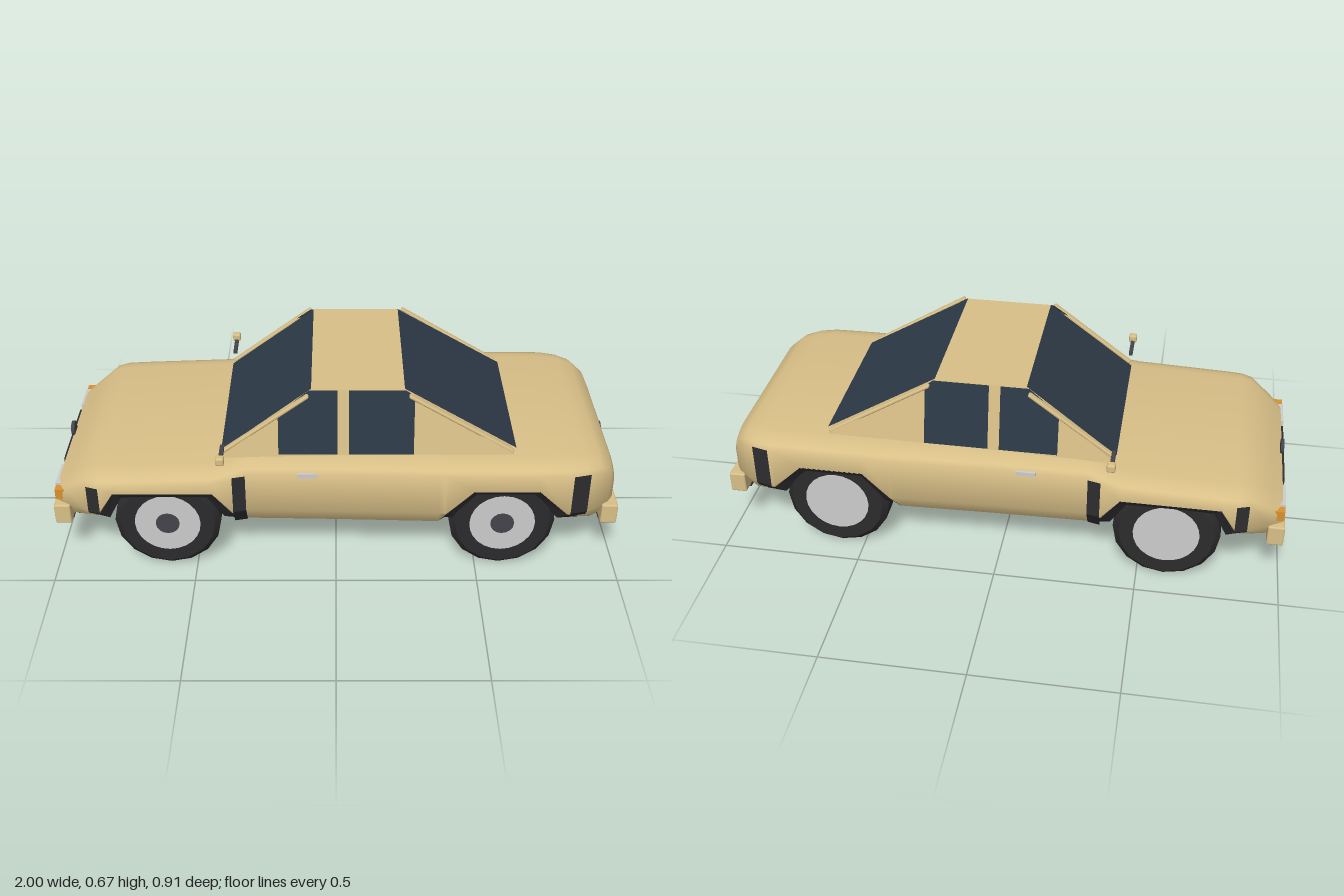
import * as THREE from 'three';
import { toCreasedNormals } from 'three/addons/utils/BufferGeometryUtils.js';
import { RoundedBoxGeometry } from 'three/addons/geometries/RoundedBoxGeometry.js';

const paint = (color) => new THREE.MeshStandardMaterial({ color, side: THREE.DoubleSide });
const M = {
  body: paint(0xd8bf87), glass: paint(0x2c3946), dark: paint(0x2d2d31), trim: paint(0x45444a), tyre: paint(0x2b2b2d),
  rim: paint(0xf0f0f3), red: paint(0xc23c44), amber: paint(0xd9912f),
};

// stations along the car: x, half width, top height, underside height
const STATIONS = [
  [-0.985, 0.35, 0.305, 0.2], [-0.945, 0.375, 0.333, 0.17], [-0.87, 0.415, 0.383, 0.212], [-0.83, 0.43, 0.387, 0.235],
  [-0.775, 0.433, 0.389, 0.328], [-0.43, 0.433, 0.402, 0.328], [-0.365, 0.422, 0.416, 0.235], [-0.315, 0.41, 0.43, 0.17],
  [0.0, 0.418, 0.435, 0.17], [0.36, 0.431, 0.435, 0.17], [0.385, 0.432, 0.435, 0.235], [0.48, 0.433, 0.435, 0.337],
  [0.705, 0.433, 0.435, 0.337], [0.81, 0.432, 0.434, 0.235], [0.87, 0.42, 0.431, 0.2], [0.92, 0.393, 0.425, 0.17],
  [0.965, 0.357, 0.396, 0.17], [0.984, 0.325, 0.355, 0.185],
];

function halfWidth(x) {
  const i = Math.max(1, STATIONS.findIndex((s) => s[0] >= x));
  const [a, b] = [STATIONS[i - 1], STATIONS[i]];
  return THREE.MathUtils.lerp(a[1], b[1], (x - a[0]) / (b[0] - a[0]));
}
const sillInset = (y) => 0.055 * THREE.MathUtils.clamp((0.245 - y) / 0.075, 0, 1);

// skin a grid of [x, y, z] points given as rows
function skin(rows, crease = 0.6) {
  const n = rows[0].length, index = [];
  for (let i = 0; i < rows.length - 1; i++)
    for (let j = 0; j < n - 1; j++) {
      const a = i * n + j, c = a + n;
      index.push(a, c, a + 1, a + 1, c, c + 1);
    }
  const g = new THREE.BufferGeometry();
  g.setAttribute('position', new THREE.Float32BufferAttribute(rows.flat(2), 3));
  g.setIndex(index);
  return toCreasedNormals(g, crease);
}

export function createModel() {
  const car = new THREE.Group();
  car.name = 'car';
  const add = (name, geometry, material, x = 0, y = 0, z = 0) => {
    const m = new THREE.Mesh(geometry, material);
    m.name = name;
    m.position.set(x, y, z);
    car.add(m);
    return m;
  };
  // box given by its extents on each axis
  const box = (name, mat, [x0, x1], [y0, y1], [z0, z1], r = 0) => {
    const s = [x1 - x0, y1 - y0, z1 - z0];
    const g = r ? new RoundedBoxGeometry(...s, 2, r) : new THREE.BoxGeometry(...s);
    return add(name, g, mat, (x0 + x1) / 2, (y0 + y1) / 2, (z0 + z1) / 2);
  };
  const pair = (name, mat, xr, yr, [z0, z1], r) => {
    box(name + 'Left', mat, xr, yr, [z0, z1], r);
    box(name + 'Right', mat, xr, yr, [-z1, -z0], r);
  };

  // body shell: rounded shoulders, upright flanks, sills tucked under
  const rows = STATIONS.map(([x, w, top, bot]) => {
    const half = [
      [x, bot, w - sillInset(bot)], [x, Math.max(bot, 0.245), w], [x, top - 0.035, w],
      [x, top - 0.02, w - 0.012], [x, top - 0.007, w - 0.045], [x, top, w - 0.085],
    ];
    return [...half, ...half.map(([a, b, c]) => [a, b, -c]).reverse()];
  });
  const endCap = (row) => row.map(([x, y]) => [x, y, 0]);
  add('bodyShell', skin([endCap(rows[0]), ...rows, endCap(rows.at(-1))], 0.8), M.body);
  // floor rises over the wheels
  const floor = STATIONS.map(([x, w, , b]) => [[x, b, sillInset(b) - w], [x, b, w - sillInset(b)]]);
  add('floor', skin(floor), M.dark);

  // wheel arch linings: a chamfer from the flank edge down and inward, then on above the wheel
  const arches = {
    front: [[-0.93, 0.178], [-0.83, 0.237], [-0.775, 0.33], [-0.43, 0.33], [-0.365, 0.237], [-0.318, 0.17]],
    rear: [[0.36, 0.17], [0.385, 0.237], [0.48, 0.34], [0.705, 0.34], [0.81, 0.237], [0.91, 0.175]],
  };
  for (const [name, edge] of Object.entries(arches)) {
    const cx = name === 'front' ? -0.595 : 0.5875;
    for (const side of [1, -1]) {
      const lining = edge.map(([x, y]) => {
        const w = halfWidth(x) - sillInset(y) + 0.002;
        const xi = cx + (x - cx) * 0.87, yi = Math.max(0.168, y - 0.035);
        return [[x, y, side * w], [xi, yi, side * (w - 0.03)], [xi, yi, side * 0.27]];
      });
      add(name + 'ArchLining', skin(lining), M.dark);
    }
  }

  // dark upright strips, following the flank
  for (const [x0, x1, y0, y1] of [[-0.868, -0.825, 0.235, 0.35], [-0.36, -0.315, 0.168, 0.39], [0.82, 0.88, 0.22, 0.4]])
    for (const side of [1, -1]) {
      const ys = [y0, Math.max(y0, 0.245), y1];
      const strip = [x0, x1].map((x) => ys.map((y) => [x, y, side * (halfWidth(x) - sillInset(y) + 0.003)]));
      add('flankStrip', skin(side > 0 ? strip : strip.reverse()), M.dark);
    }

  // cabin: leaning sides with glass, then the panels across the car
  const sideZ = (y) => 0.345 - ((y - 0.435) / 0.235) * 0.048;
  const sidePanel = (name, points, offset, mat) => {
    for (const side of [1, -1]) {
      const g = new THREE.ShapeGeometry(new THREE.Shape(points.map((p) => new THREE.Vector2(...p))));
      const p = g.attributes.position;
      for (let i = 0; i < p.count; i++) p.setZ(i, side * (sideZ(p.getY(i)) + offset));
      if (side < 0) g.index.array.reverse();
      g.computeVertexNormals();
      add(name, g, mat);
    }
  };
  const crossPanel = (name, [x0, y0], [x1, y1], z0, z1, mat) =>
    add(name, skin([[[x0, y0, z0], [x0, y0, -z0]], [[x1, y1, z1], [x1, y1, -z1]]]), mat);
  sidePanel('cabinSide', [[-0.4, 0.425], [0.635, 0.425], [0.24, 0.668], [-0.085, 0.668]], 0, M.body);
  sidePanel('frontSideWindow', [[-0.2, 0.437], [0.005, 0.437], [0.005, 0.668], [-0.095, 0.668], [-0.2, 0.585]], 0.004, M.glass);
  sidePanel('rearSideWindow', [[0.045, 0.437], [0.27, 0.437], [0.27, 0.648], [0.24, 0.668], [0.045, 0.668]], 0.004, M.glass);
  crossPanel('windscreenFrame', [-0.4, 0.425], [-0.085, 0.668], 0.347, 0.297, M.body);
  crossPanel('windscreen', [-0.402, 0.429], [-0.085, 0.672], 0.305, 0.295, M.glass);
  crossPanel('roof', [-0.085, 0.671], [0.235, 0.671], 0.297, 0.297, M.body);
  crossPanel('rearWindowFrame', [0.24, 0.668], [0.635, 0.425], 0.297, 0.347, M.body);
  crossPanel('rearWindow', [0.235, 0.672], [0.632, 0.436], 0.295, 0.303, M.glass);

  // slim rails beside the two sloping windows
  for (const [x0, y0, x1, y1] of [[-0.395, 0.435, -0.095, 0.66], [0.25, 0.66, 0.62, 0.435]])
    for (const side of [1, -1]) {
      const g = new RoundedBoxGeometry(Math.hypot(x1 - x0, y1 - y0), 0.013, 0.023, 2, 0.006);
      add('pillarRail', g, M.body, (x0 + x1) / 2, (y0 + y1) / 2, side * 0.321).rotation.z = Math.atan2(y1 - y0, x1 - x0);
    }

  // mirrors and door handles
  pair('mirrorStalk', M.trim, [-0.402, -0.388], [0.456, 0.47], [0.335, 0.432]);
  pair('mirror', M.body, [-0.41, -0.38], [0.46, 0.49], [0.426, 0.456], 0.007);
  pair('doorHandle', M.rim, [-0.134, -0.066], [0.388, 0.403], [0.4, 0.421]);

  // bumpers
  for (const [end, s] of [['front', -1], ['rear', 1]]) {
    const span = (a, b) => (s > 0 ? [a, b] : [-b, -a]);
    box(end + 'Bumper', M.body, span(0.94, 0.998), [0.168, 0.245], [-0.385, 0.385], 0.006);
    box(end + 'BumperStrip', M.trim, span(0.945, 1), [0.15, 0.19], [-0.327, 0.327]);
    box(end + 'Plate', M.rim, span(0.975, 0.99), [0.235, 0.25], [-0.085, 0.085]);
    const disc = add(end + 'Disc', new THREE.CylinderGeometry(0.028, 0.028, 0.012, 20), M.trim, s * 0.984, 0.323, 0);
    disc.rotation.z = Math.PI / 2;
  }

  // lamps and grille
  pair('tailLamp', M.red, [0.965, 0.992], [0.27, 0.305], [0.188, 0.292]);
  pair('headlamp', M.rim, [-0.995, -0.96], [0.255, 0.3], [0.205, 0.325]);
  pair('indicator', M.amber, [-0.992, -0.95], [0.258, 0.297], [0.332, 0.362]);
  box('grille', M.dark, [-0.993, -0.96], [0.255, 0.3], [-0.17, 0.17]);

  // wheels
  const profile = [[0.11, -0.0675], [0.167, -0.0675], [0.188, -0.047], [0.188, 0.047], [0.167, 0.0675], [0.11, 0.0675]];
  const tyreGeo = toCreasedNormals(new THREE.LatheGeometry(profile.map((p) => new THREE.Vector2(...p)), 16), 0.3);
  const rimGeo = new THREE.CylinderGeometry(0.116, 0.116, 0.137, 24);
  const hubGeo = new THREE.CylinderGeometry(0.042, 0.042, 0.01, 16);
  for (const [x, end] of [[-0.595, 'front'], [0.5875, 'rear']])
    for (const z of [0.3425, -0.3425]) {
      const wheel = new THREE.Group();
      wheel.name = end + 'Wheel';
      wheel.position.set(x, 0.188, z);
      wheel.rotation.x = Math.PI / 2;
      for (const [name, g, m, y] of [['tyre', tyreGeo, M.tyre, 0], ['rim', rimGeo, M.rim, 0], ['hub', hubGeo, M.trim, 0.067]]) {
        const part = new THREE.Mesh(g, m);
        part.name = name;
        part.position.y = y;
        wheel.add(part);
      }
      car.add(wheel);
    }
  return car;
}
